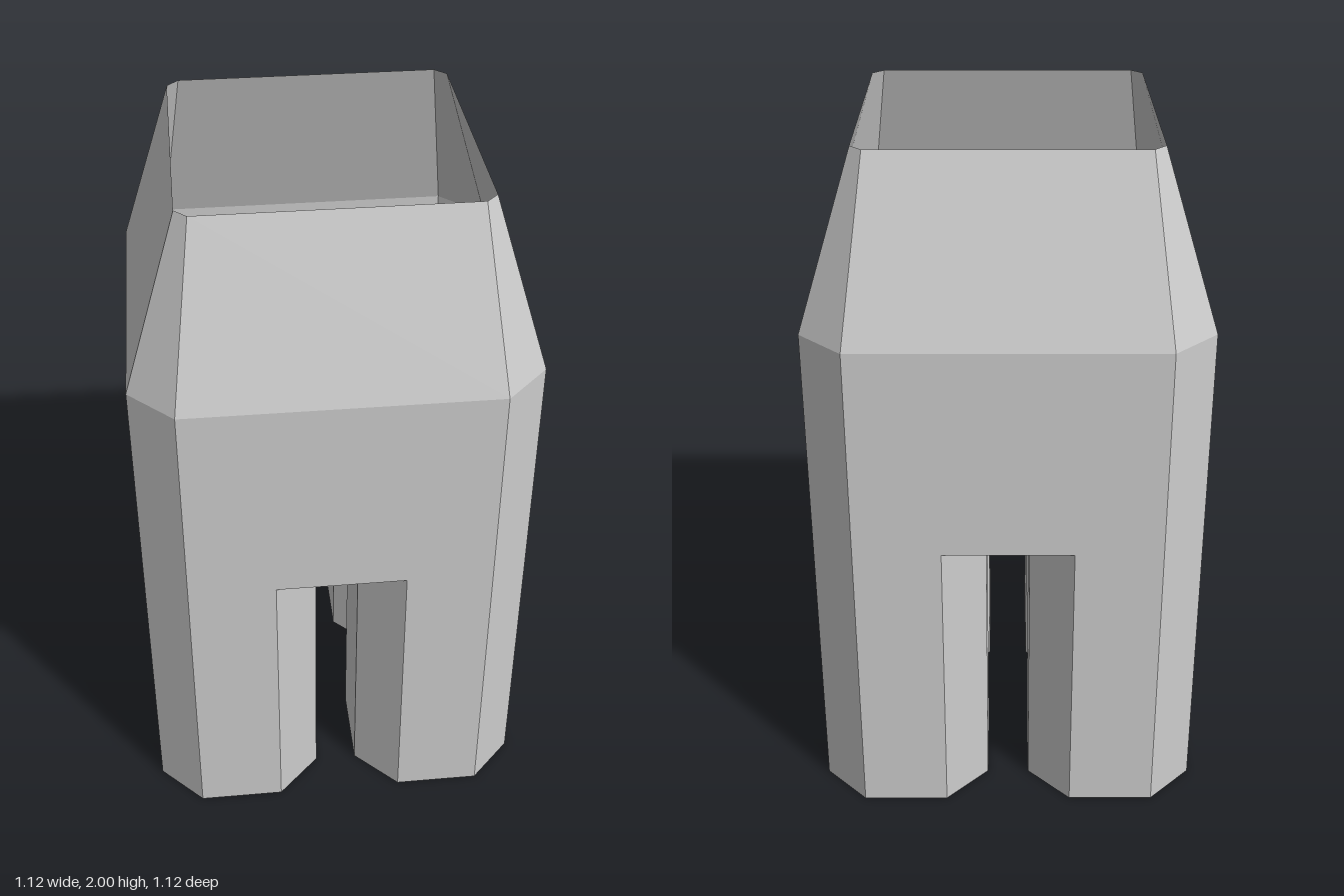
import * as THREE from 'three';

const shellGrey = new THREE.MeshStandardMaterial({ color: 0xcccccc, side: THREE.DoubleSide });
shellGrey.name = 'shellGrey';

// Square with cut corners at height y: half is the half width, cut the corner size
function octagon(half, cut, y) {
  const h = half, k = half - cut;
  return [[h, -k], [h, k], [k, h], [-k, h], [-h, k], [-h, -k], [-k, -h], [k, -h]]
    .map(([x, z]) => new THREE.Vector3(x, y, z));
}

// Flat-faced skin through a list of rings, optionally closing the last one
function skin(rings, capEnd) {
  const points = [];
  for (let r = 0; r < rings.length - 1; r++) {
    for (let i = 0; i < 8; i++) {
      const j = (i + 1) % 8;
      const [a, b, c, d] = [rings[r][i], rings[r][j], rings[r + 1][i], rings[r + 1][j]];
      points.push(a, b, c, b, d, c);
    }
  }
  if (capEnd) {
    const last = rings[rings.length - 1];
    const centre = new THREE.Vector3(0, last[0].y, 0);
    for (let i = 0; i < 8; i++) points.push(centre, last[i], last[(i + 1) % 8]);
  }
  const geometry = new THREE.BufferGeometry().setFromPoints(points);
  geometry.computeVertexNormals();
  return geometry;
}

export function createModel() {
  const model = new THREE.Group();
  model.name = 'fourLeggedShell';
  const add = (name, geometry) => {
    const mesh = new THREE.Mesh(geometry, shellGrey);
    mesh.name = name;
    model.add(mesh);
    return mesh;
  };
  const legTop = 0.88, half = 0.5625, gap = 0.0625, cut = 0.125;

  // Straight body and tapered collar, open at the top
  add('body', skin([octagon(half, cut, 1.5), octagon(half, cut, legTop)]));
  add('taperedCollar', skin([octagon(0.407, 0.033, 2), octagon(half, cut, 1.5)]));

  // Cross-shaped plate between the hollow legs
  const quarter = [
    [half, gap + cut], [half - cut, gap], [gap + cut, gap],
    [gap, gap + cut], [gap, half - cut], [gap + cut, half],
  ];
  const outline = [];
  for (let q = 0; q < 4; q++) {
    for (const [x, y] of quarter) {
      outline.push(new THREE.Vector2(x, y).rotateAround(new THREE.Vector2(), q * Math.PI / 2));
    }
  }
  const plate = new THREE.ShapeGeometry(new THREE.Shape(outline));
  plate.rotateX(Math.PI / 2);
  add('crossPlate', plate).position.y = legTop;

  // Hollow legs: outer wall, foot rim and tapered recess underneath
  const leg = skin([
    octagon(0.25, cut, legTop),
    octagon(0.25, cut, 0),
    octagon(0.1875, 0.085, 0),
    octagon(0.1275, 0.03, 0.25),
  ], true);
  const offset = (half + gap) / 2;
  for (const [sx, side] of [[1, 'Left'], [-1, 'Right']]) {
    for (const [sz, end] of [[1, 'front'], [-1, 'back']]) {
      add(`${end}${side}Leg`, leg).position.set(sx * offset, 0, sz * offset);
    }
  }
  return model;
}
